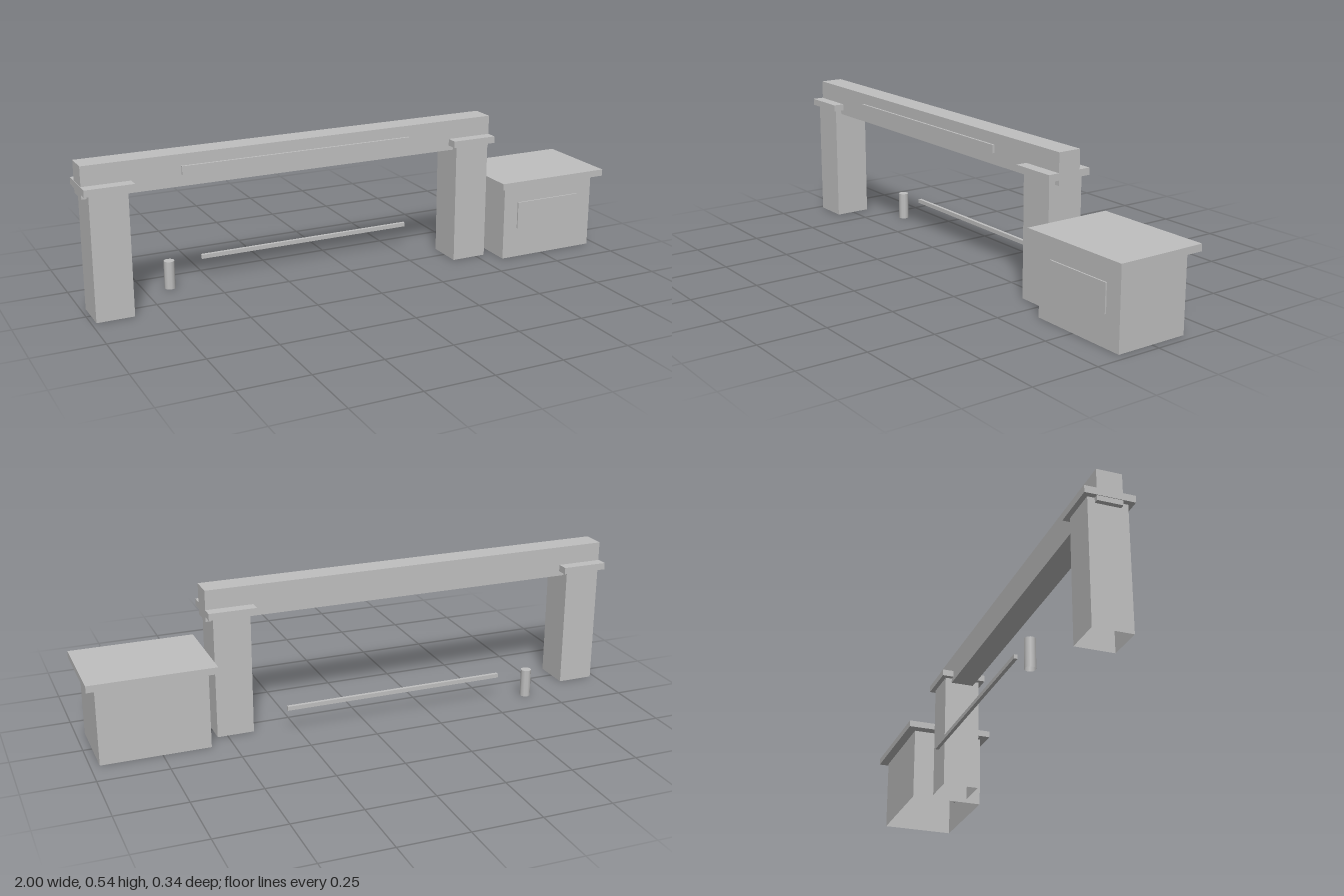
import * as THREE from 'three';

// Remove one material group (a face of a box, a cap of a cylinder)
function dropGroup(geometry, i) {
  const { start, count } = geometry.groups[i];
  const index = Array.from(geometry.index.array);
  index.splice(start, count);
  geometry.setIndex(index);
  geometry.clearGroups();
  return geometry;
}

export function createModel() {
  const model = new THREE.Group();
  model.name = 'gateway';

  const grey = new THREE.MeshStandardMaterial({ color: 0xbfbfbf, side: THREE.DoubleSide });
  grey.name = 'plain grey';

  // Box given by its extents on each axis; standing boxes have no underside
  function block(name, [x0, x1], [y0, y1], [z0, z1], openBottom = false) {
    const geometry = new THREE.BoxGeometry(x1 - x0, y1 - y0, z1 - z0);
    if (openBottom) dropGroup(geometry, 3);
    const mesh = new THREE.Mesh(geometry, grey);
    mesh.name = name;
    mesh.position.set((x0 + x1) / 2, (y0 + y1) / 2, (z0 + z1) / 2);
    model.add(mesh);
  }

  // Pillars with caps
  for (const [side, x] of [['right', -0.916], ['left', 0.469]]) {
    block(side + 'Pillar', [x - 0.067, x + 0.067], [0, 0.448], [-0.069, 0.069], true);
    block(side + 'PillarCap', [x - 0.086, x + 0.086], [0.447, 0.472], [-0.0865, 0.0865]);
  }

  // Beam and its sign board
  block('beam', [-1, 0.555], [0.429, 0.542], [-0.044, 0.044]);
  block('signBoard', [-0.657, 0.209], [0.472, 0.502], [0.048, 0.0565]);

  // Guard booth with roof and front window
  block('booth', [0.577, 0.968], [0, 0.278], [-0.138, 0.138], true);
  block('boothRoof', [0.55, 1], [0.283, 0.308], [-0.168, 0.168]);
  block('boothWindow', [0.636, 0.905], [0.114, 0.217], [0.1345, 0.1435]);

  // Barrier post and arm behind the gate
  const post = new THREE.Mesh(
    dropGroup(new THREE.CylinderGeometry(0.0195, 0.0195, 0.104, 10), 2), grey);
  post.name = 'barrierPost';
  post.position.set(-0.658, 0.052, -0.132);
  model.add(post);
  block('barrierArm', [-0.535, 0.295], [0.092, 0.107], [-0.139, -0.126]);

  return model;
}
